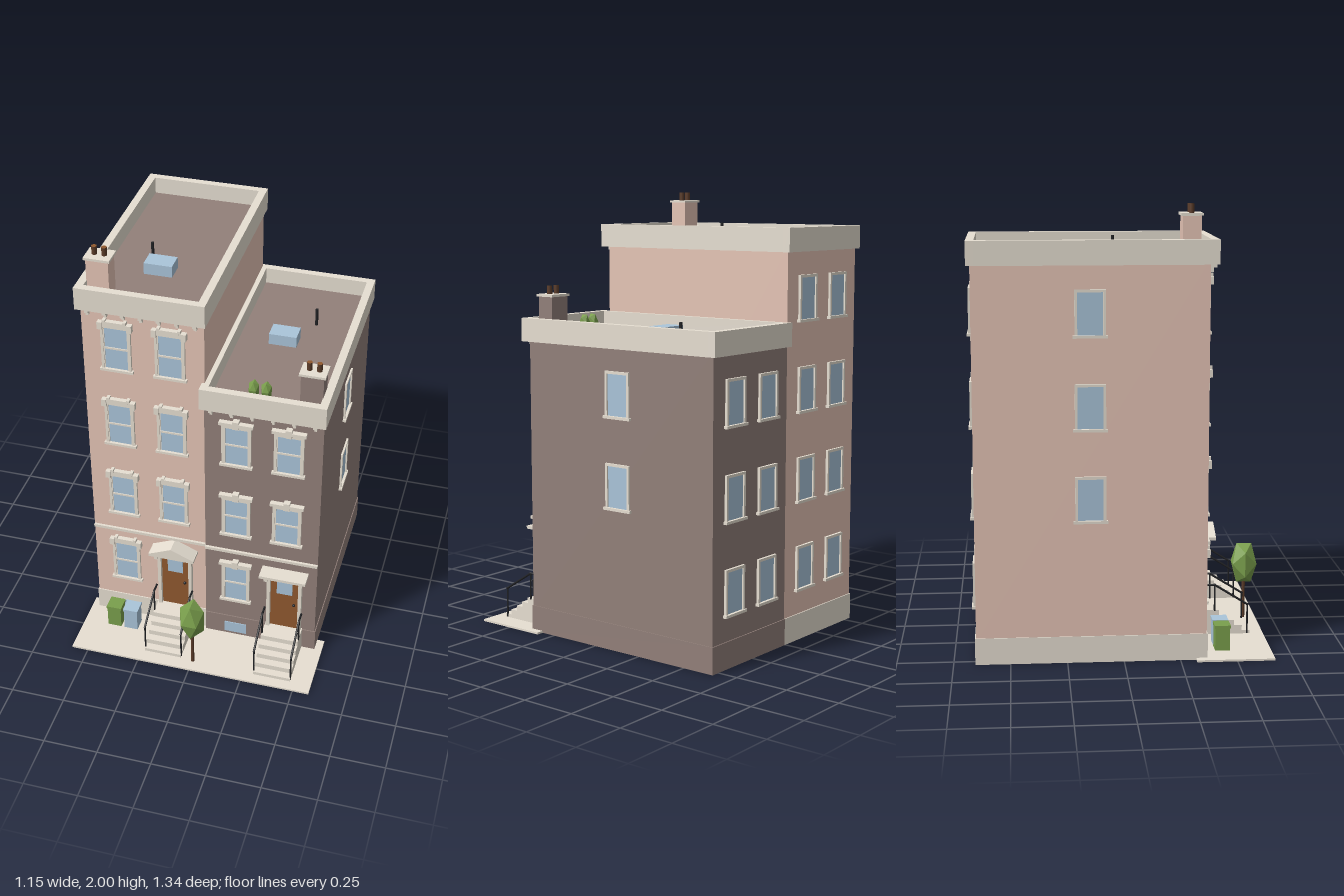
import * as THREE from 'three';

const mat = (name, color, flatShading = false) => {
  const m = new THREE.MeshStandardMaterial({ color, flatShading });
  m.name = name;
  return m;
};

export function createModel() {
  const model = new THREE.Group();
  model.name = 'rowHouses';
  const pink = mat('pinkBrick', 0xe6c5b6);
  const brown = mat('brownstone', 0x92807a);
  const stone = mat('paleStone', 0xe7dfd2);
  const glass = mat('blueGlass', 0xaac5da);
  const wood = mat('doorWood', 0x90592f);
  const iron = mat('blackIron', 0x222326);
  const green = mat('leafGreen', 0x7a9f4c, true);
  const bark = mat('darkBark', 0x5c3d2a);

  const add = (parent, name, geo, m, x = 0, y = 0, z = 0) => {
    const mesh = new THREE.Mesh(geo, m);
    mesh.name = name;
    mesh.position.set(x, y, z);
    parent.add(mesh);
    return mesh;
  };
  // box given by its limits on each axis
  const box = (parent, name, m, x0, x1, y0, y1, z0, z1) =>
    add(parent, name, new THREE.BoxGeometry(x1 - x0, y1 - y0, z1 - z0), m,
      (x0 + x1) / 2, (y0 + y1) / 2, (z0 + z1) / 2);
  const group = (name, parent = model) => {
    const g = new THREE.Group();
    g.name = name;
    parent.add(g);
    return g;
  };
  // round bar between two points
  const bar = (parent, name, m, a, b, r) => {
    const p = new THREE.Vector3(...a), d = new THREE.Vector3(...b).sub(p);
    const mesh = add(parent, name, new THREE.CylinderGeometry(r, r, d.length(), 8), m);
    mesh.position.copy(p).addScaledVector(d, 0.5);
    mesh.quaternion.setFromUnitVectors(new THREE.Vector3(0, 1, 0), d.normalize());
  };

  // window with its foot at y, facing out along local +z
  const heights = { crown: 0.222, hood: 0.21, plain: 0.198 };
  const addWindow = (parent, x, y, z, turn, head) => {
    const g = group('window', parent);
    g.position.set(x, y, z);
    g.rotation.y = turn;
    const h = heights[head];
    box(g, 'pane', glass, -0.056, 0.056, 0.008, h, -0.002, 0.005);
    for (const s of [-1, 1])
      add(g, 'jamb', new THREE.BoxGeometry(0.012, h, 0.014), stone, s * 0.061, h / 2, 0.005);
    box(g, 'topFrame', stone, -0.067, 0.067, h - 0.006, h + 0.006, -0.002, 0.012);
    box(g, 'sill', stone, -0.075, 0.075, -0.003, 0.009, -0.002, 0.018);
    if (head === 'plain') return;
    box(g, 'meetingRail', stone, -0.056, 0.056, 0.108, 0.117, 0, 0.009);
    for (const s of [-1, 1])
      add(g, 'sashStile', new THREE.BoxGeometry(0.005, h, 0.008), stone, s * 0.053, h / 2, 0.004);
    if (head === 'crown') {
      box(g, 'lintel', stone, -0.07, 0.07, h, h + 0.021, -0.002, 0.018);
      box(g, 'crown', stone, -0.046, 0.046, h + 0.019, h + 0.031, -0.002, 0.022);
      for (const s of [-1, 1]) {
        add(g, 'lintelEar', new THREE.BoxGeometry(0.022, 0.035, 0.026), stone, s * 0.066, h + 0.008, 0.011);
        add(g, 'crownEar', new THREE.BoxGeometry(0.014, 0.014, 0.026), stone, s * 0.046, h + 0.032, 0.011);
      }
    } else {
      box(g, 'lintel', stone, -0.067, 0.067, h, h + 0.016, -0.002, 0.014);
      box(g, 'hood', stone, -0.077, 0.077, h + 0.014, h + 0.029, -0.002, 0.024);
      box(g, 'keystone', stone, -0.014, 0.014, h + 0.004, h + 0.043, -0.002, 0.028);
    }
  };

  // walls, plinth, roof and parapet of one house
  const addHouse = (o) => {
    const g = group(o.name);
    const { x0, x1, front, top } = o, px0 = x0 - 0.013, px1 = x1 + 0.014, pf = front + 0.038, pb = -0.667;
    const back = -0.65, floor = 0.1, out = Math.sign(o.sideX), edge = o.sideX;
    box(g, 'walls', o.wall, x0, x1, floor, top - 0.08, back, front);
    box(g, 'floorSlab', o.base, x0 + 0.002, x1 - 0.002, floor - 0.004, floor + 0.01, back + 0.002, front - 0.002);
    // hollow plinth, open underneath
    box(g, 'plinthFront', o.base, x0, x1, 0, 0.12, front - 0.008, front + 0.005);
    box(g, 'plinthBack', o.base, x0, x1, 0, 0.12, back - 0.005, back + 0.008);
    add(g, 'plinthSide', new THREE.BoxGeometry(0.008, 0.12, front - back + 0.01), o.base, edge, 0.06, (front + back) / 2);
    add(g, 'innerSide', new THREE.BoxGeometry(0.006, floor, front - back), o.wall, edge - out * 0.007, floor / 2, (front + back) / 2);
    if (o.partyWall) box(g, 'partyWallFoot', o.base, x1 - 0.01, x1, 0, floor, back, front);
    box(g, 'stringCourse', stone, x0, x1, 0.526, 0.54, front - 0.002, front + 0.012);
    box(g, 'roofDeck', brown, px0 + 0.03, px1 - 0.03, top - 0.1, top - 0.078, pb + 0.03, pf - 0.03);
    const y0 = top - 0.105;
    box(g, 'parapetFront', stone, px0, px1, y0, top, pf - 0.035, pf);
    box(g, 'parapetBack', stone, px0, px1, y0, top, pb, pb + 0.035);
    box(g, 'parapetRight', stone, px0, px0 + 0.035, y0, top, pb + 0.035, pf - 0.035);
    box(g, 'parapetLeft', stone, px1 - 0.035, px1, y0, top, pb + 0.035, pf - 0.035);
    for (let i = 0; i < o.brackets; i++) {
      const x = x0 + 0.035 + (x1 - x0 - 0.07) * i / (o.brackets - 1);
      box(g, 'corniceBracket', stone, x - 0.008, x + 0.008, y0 - 0.016, y0, front - 0.002, front + 0.03);
      box(g, 'bracketFoot', stone, x - 0.006, x + 0.006, y0 - 0.034, y0 - 0.016, front - 0.002, front + 0.016);
    }
    // windows on the front, back and outer side
    for (let i = 0; i < o.floors; i++) {
      const y = 0.231 + i * 0.404;
      for (const x of o.columns) {
        if (i || x !== o.doorX) addWindow(g, x, y, front, 0, o.head);
        addWindow(g, x, y, back, Math.PI, 'plain');
      }
      if (i) addWindow(g, edge - out * 0.003, y, o.sideZ, out * Math.PI / 2, 'plain');
    }
    box(g, 'basementWindow', glass, o.columns[0] - 0.053, o.columns[0] + 0.053,
      0.024, 0.082, front + 0.002, front + 0.009);

    // door with its surround and hood
    const d = group('entrance', g);
    d.position.set(o.doorX, 0, front);
    box(d, 'door', wood, -0.066, 0.066, 0.12, 0.432, -0.002, 0.008);
    box(d, 'doorGlass', glass, -0.037, 0.037, 0.33, 0.402, 0.007, 0.011);
    add(d, 'doorKnob', new THREE.SphereGeometry(0.007, 10, 8), iron, 0.046, 0.272, 0.012);
    for (const s of [-1, 1])
      add(d, 'doorJamb', new THREE.BoxGeometry(0.016, 0.325, 0.026), stone, s * 0.075, 0.282, 0.011);
    box(d, 'doorLintel', stone, -0.083, 0.083, 0.43, 0.465, -0.002, 0.035);
    box(d, 'hoodShelf', stone, -0.109, 0.109, 0.463, 0.477, -0.002, 0.076);
    for (const s of [-1, 1])
      add(d, 'hoodBracket', new THREE.BoxGeometry(0.016, 0.04, 0.05), stone, s * 0.083, 0.445, 0.025);
    if (o.pediment) {
      const tri = new THREE.Shape([[-0.109, 0], [0.109, 0], [0, 0.048]].map(p => new THREE.Vector2(...p)));
      add(d, 'pediment', new THREE.ExtrudeGeometry(tri, { depth: 0.078, bevelEnabled: false }), stone, 0, 0.476, -0.002);
    }

    // stoop with iron railings
    for (let i = 0; i < 5; i++)
      box(d, 'step', stone, -0.089, 0.089, 0, 0.025 * (i + 1), 0, 0.24 - i * 0.036);
    for (const s of [-1, 1]) {
      const x = s * 0.088;
      bar(d, 'lowerPost', iron, [x, 0.01, 0.228], [x, 0.15, 0.228], 0.004);
      bar(d, 'upperPost', iron, [x, 0.12, 0.076], [x, 0.247, 0.076], 0.004);
      bar(d, 'slopingRail', iron, [x, 0.147, 0.232], [x, 0.246, 0.075], 0.005);
      bar(d, 'levelRail', iron, [x, 0.246, 0.078], [x, 0.246, 0.03], 0.005);
    }

    // chimney with two pots
    const c = group('chimney', g), [cx, cz] = o.chimney, ct = top + 0.098;
    box(c, 'stack', o.wall, cx - 0.05, cx + 0.05, top - 0.08, ct, cz - 0.04, cz + 0.04);
    box(c, 'chimneyCap', stone, cx - 0.058, cx + 0.058, ct, ct + 0.011, cz - 0.047, cz + 0.047);
    for (const s of [-1, 1])
      add(c, 'chimneyPot', new THREE.CylinderGeometry(0.012, 0.012, 0.04, 12), [bark, wood, bark],
        cx + s * 0.022, ct + 0.029, cz);

    // skylight and vent pipe
    const [sx, sz] = o.skylight, [vx, vz] = o.vent;
    box(g, 'skylight', glass, sx - 0.064, sx + 0.064, top - 0.08, top - 0.025, sz - 0.044, sz + 0.044);
    bar(g, 'ventPipe', iron, [vx, top - 0.08, vz], [vx, top + 0.007, vz], 0.007);
  };

  addHouse({
    name: 'tallHouse', wall: pink, base: stone, x0: -0.54, x1: 0.006, front: 0.365, top: 1.853,
    floors: 4, columns: [-0.386, -0.145], doorX: -0.145, head: 'crown', sideX: -0.54, sideZ: -0.146,
    brackets: 7, pediment: true, partyWall: true,
    chimney: [-0.47, 0.286], skylight: [-0.28, 0.048], vent: [-0.343, -0.038],
  });
  addHouse({
    name: 'shortHouse', wall: brown, base: brown, x0: 0.006, x1: 0.538, front: 0.379, top: 1.445,
    floors: 3, columns: [0.153, 0.389], doorX: 0.389, head: 'hood', sideX: 0.538, sideZ: -0.137,
    brackets: 6, pediment: false, partyWall: false,
    chimney: [0.469, 0.299], skylight: [0.233, -0.161], vent: [0.344, -0.329],
  });

  box(model, 'pavement', stone, -0.577, 0.577, 0, 0.009, 0.32, 0.668);

  // faceted foliage
  const leaves = (name, x, y, z, r, ry) => {
    const geo = new THREE.IcosahedronGeometry(1, 0).rotateY(Math.PI / 2).scale(r, ry, r);
    add(model, name, geo, green, x, y, z);
  };
  bar(model, 'treeTrunk', bark, [0.005, 0.005, 0.61], [0.005, 0.24, 0.61], 0.008);
  leaves('treeCrown', 0.005, 0.28, 0.61, 0.067, 0.112);
  for (const x of [0.206, 0.262]) leaves('roofShrub', x, 1.409, 0.296, 0.027, 0.045);

  // bins beside the stoop
  for (const [name, m, x] of [['greenBin', green, -0.426], ['blueBin', glass, -0.344]]) {
    const b = group(name);
    box(b, 'binBody', m, x - 0.033, x + 0.033, 0.009, 0.115, 0.415, 0.481);
    box(b, 'binLid', m, x - 0.036, x + 0.036, 0.113, 0.126, 0.412, 0.484);
  }
  return model;
}
